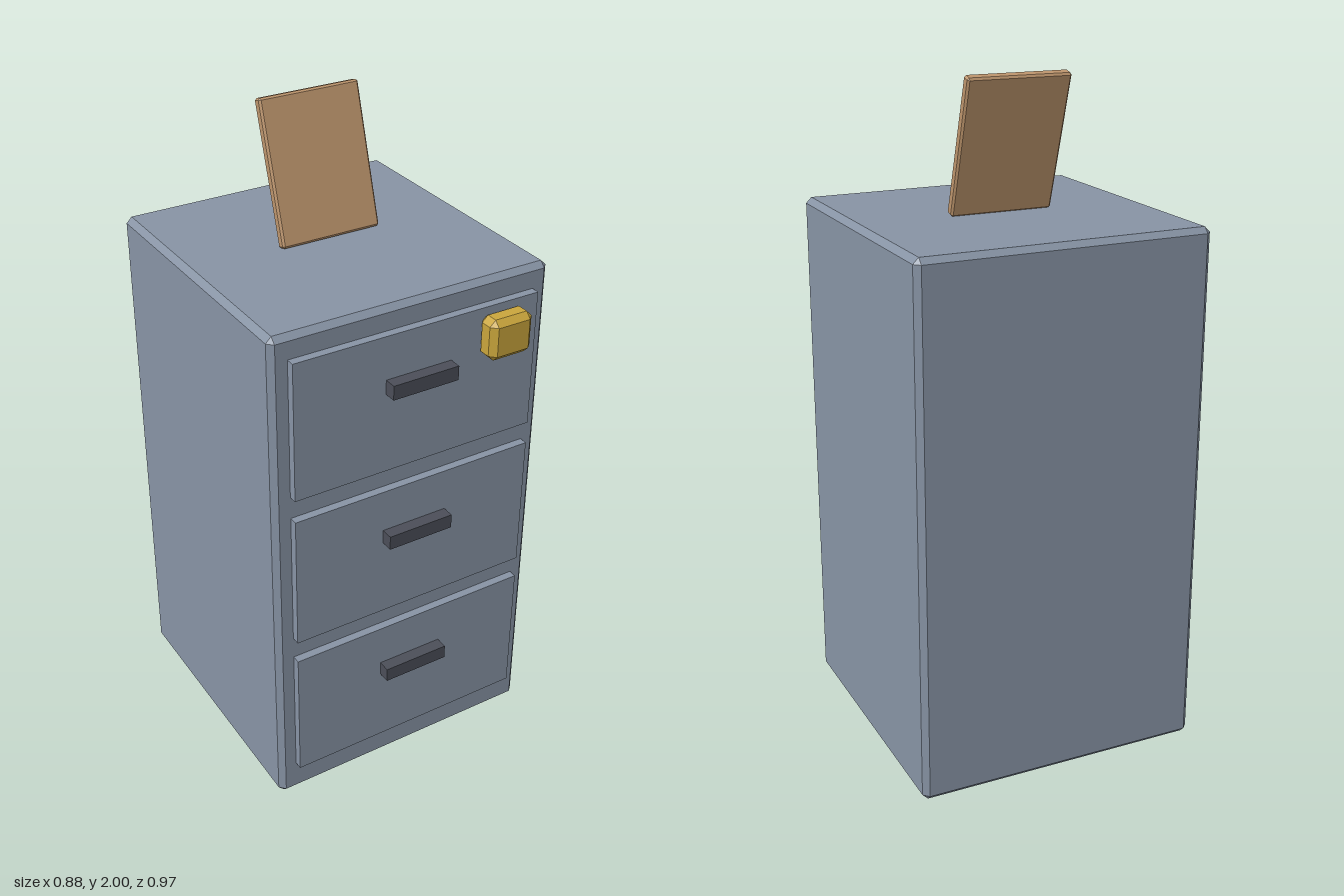
import * as THREE from 'three';
import { ConvexGeometry } from 'three/addons/geometries/ConvexGeometry.js';

// Box with flat chamfers on every edge: hull of 24 corner points
function chamferBox(w, h, d, c) {
  const points = [];
  for (const x of [-1, 1]) for (const y of [-1, 1]) for (const z of [-1, 1]) {
    for (let axis = 0; axis < 3; axis++) {
      const half = [w / 2 - c, h / 2 - c, d / 2 - c];
      half[axis] += c;
      points.push(new THREE.Vector3(x * half[0], y * half[1], z * half[2]));
    }
  }
  return new ConvexGeometry(points);
}

export function createModel() {
  const group = new THREE.Group();
  const material = (name, color) => {
    const m = new THREE.MeshStandardMaterial({ color });
    m.name = name;
    return m;
  };
  const steel = material('blue grey steel', 0x8793a4);
  const dark = material('dark handle grey', 0x4b4e58);
  const brass = material('brass', 0xc9a53c);
  const tan = material('tan card', 0xbc946c);

  const add = (name, geometry, mat, x, y, z) => {
    const mesh = new THREE.Mesh(geometry, mat);
    mesh.name = name;
    mesh.position.set(x, y, z);
    group.add(mesh);
    return mesh;
  };

  // Cabinet body
  add('cabinet', chamferBox(0.884, 1.595, 0.884, 0.017), steel, 0, 0.7975, -0.045);

  // Three drawers with bar handles
  const drawer = new THREE.BoxGeometry(0.778, 0.425, 0.035);
  const handle = new THREE.BoxGeometry(0.21, 0.044, 0.045);
  for (let i = 0; i < 3; i++) {
    const y = 0.322 + i * 0.495;
    add('drawer' + (i + 1), drawer, steel, 0, y, 0.405);
    add('handle' + (i + 1), handle, dark, 0, y + 0.058, 0.4375);
  }

  // Padlock block on the top drawer
  add('lock', chamferBox(0.14, 0.125, 0.071, 0.018), brass, 0.265, 1.443, 0.45);

  // Card leaning back out of the cabinet top
  const card = add('card', chamferBox(0.316, 0.418, 0.032, 0.006), tan, 0, 1.797, -0.108);
  card.rotation.x = -0.3;

  return group;
}
